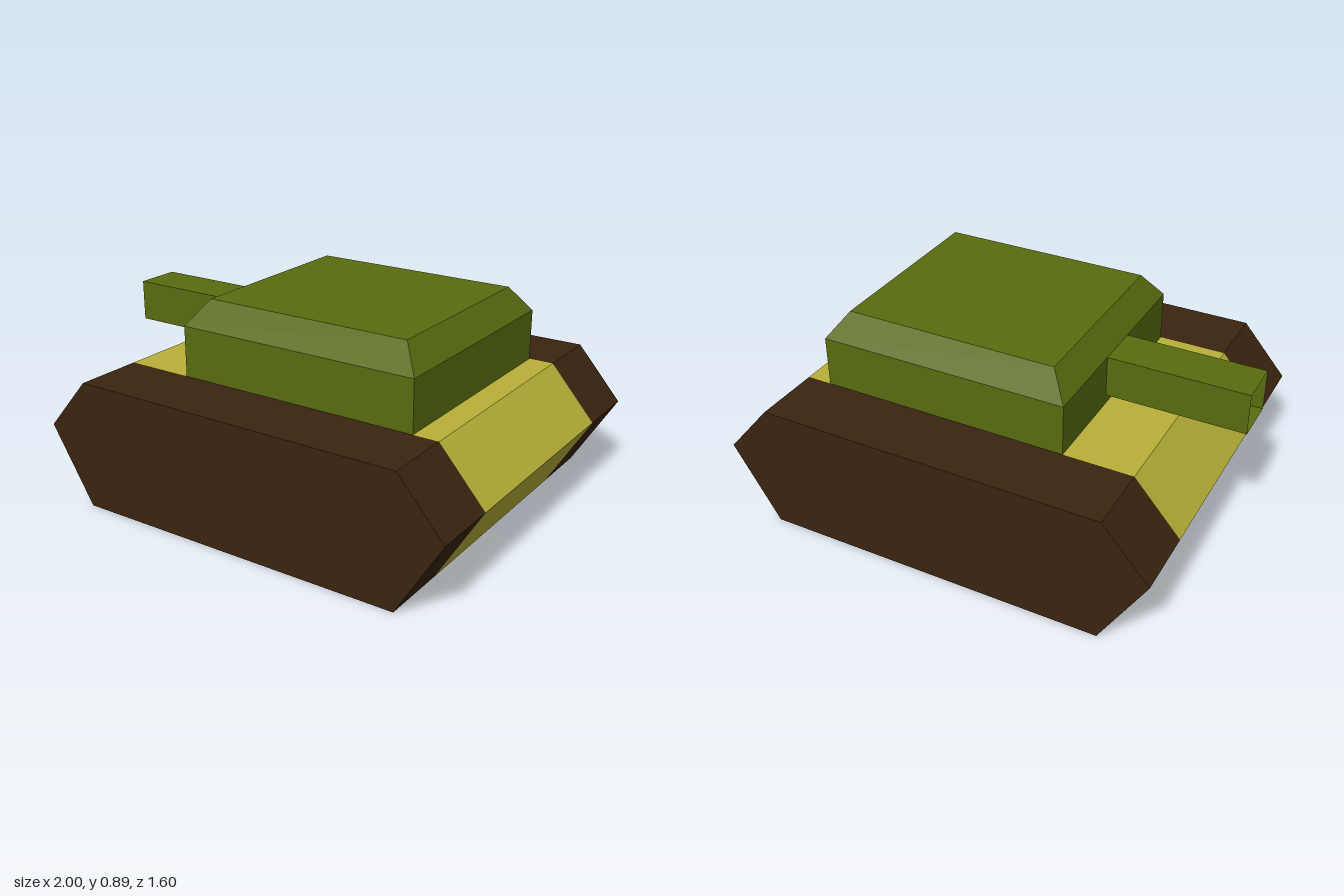
import * as THREE from 'three';

const mat = (name, color) => {
  const m = new THREE.MeshStandardMaterial({ color, side: THREE.DoubleSide });
  m.name = name;
  return m;
};

// Flat faces from quads whose corners run counter-clockwise seen from outside
function quadMesh(name, quads, material) {
  const pos = quads.flatMap(([a, b, c, d]) => [a, b, c, a, c, d].flat());
  const geo = new THREE.BufferGeometry();
  geo.setAttribute('position', new THREE.Float32BufferAttribute(pos, 3));
  geo.computeVertexNormals();
  const mesh = new THREE.Mesh(geo, material);
  mesh.name = name;
  return mesh;
}

// Sweep an open x/y profile across a range of z
const sweep = (profile, z0, z1) => profile.slice(1).map((b, i) => {
  const a = profile[i];
  return [[...a, z1], [...a, z0], [...b, z0], [...b, z1]];
});

// Join two four-cornered loops with side faces
const loft = (lower, upper) => lower.map((p, i) => {
  const j = (i + 1) % 4;
  return [p, lower[j], upper[j], upper[i]];
});

// Level rectangle, starting at the +z side
const ring = (x0, x1, z, y) => [[x0, y, z], [x1, y, z], [x1, y, -z], [x0, y, -z]];

export function createModel() {
  const brown = mat('track brown', 0x3a2410);
  const yellow = mat('hull yellow', 0xb8b038);
  const green = mat('turret green', 0x586c0f);
  const group = new THREE.Group();
  group.name = 'tank';

  const outline = [[0.8, 0], [1, 0.33], [0.8, 0.56], [-0.7, 0.56], [-0.9, 0.33], [-0.7, 0]];

  // Tracks: hollow shells with an outer wall, open below and towards the middle
  for (const side of [1, -1]) {
    const track = new THREE.Group();
    track.name = side > 0 ? 'frontTrack' : 'backTrack';
    const [z0, z1] = side > 0 ? [0.5, 0.8] : [-0.8, -0.5];
    track.add(quadMesh('trackBand', sweep(outline, z0, z1), brown));
    const shape = new THREE.Shape(outline.map(([x, y]) => new THREE.Vector2(x * side, y)));
    const wall = new THREE.Mesh(new THREE.ShapeGeometry(shape), brown);
    wall.name = 'trackWall';
    wall.position.z = 0.8 * side;
    if (side < 0) wall.rotation.y = Math.PI;
    track.add(wall);
    group.add(track);
  }

  // Hull ends and deck, leaving the turret well open
  group.add(quadMesh('leftHull', sweep([...outline.slice(0, 3), [0.69, 0.56]], -0.5, 0.5), yellow));
  group.add(quadMesh('rightHull', sweep([[-0.4, 0.56], ...outline.slice(3)], -0.5, 0.5), yellow));

  // Turret walls, with a gun opening in the -x wall
  const base = ring(-0.4, 0.69, 0.5, 0.56);
  const rim = ring(-0.4, 0.69, 0.5, 0.78);
  const roof = ring(-0.32, 0.61, 0.42, 0.89);
  const panel = (z0, z1, y1) =>
    [[-0.4, 0.56, z0], [-0.4, 0.56, z1], [-0.4, y1, z1], [-0.4, y1, z0]];
  group.add(quadMesh('turretWalls', [
    ...loft(base, rim).slice(0, 3),
    panel(-0.5, -0.1, 0.78), panel(-0.1, 0.1, 0.6), panel(0.1, 0.5, 0.78),
  ], green));

  // Bevelled turret roof
  group.add(quadMesh('turretRoof', [...loft(rim, roof), roof], green));

  // Hollow square gun barrel, open at both ends
  const section = x => [[x, 0.6, 0.1], [x, 0.78, 0.1], [x, 0.78, -0.1], [x, 0.6, -0.1]];
  group.add(quadMesh('gunBarrel', loft(section(-0.4), section(-1)), green));

  return group;
}
